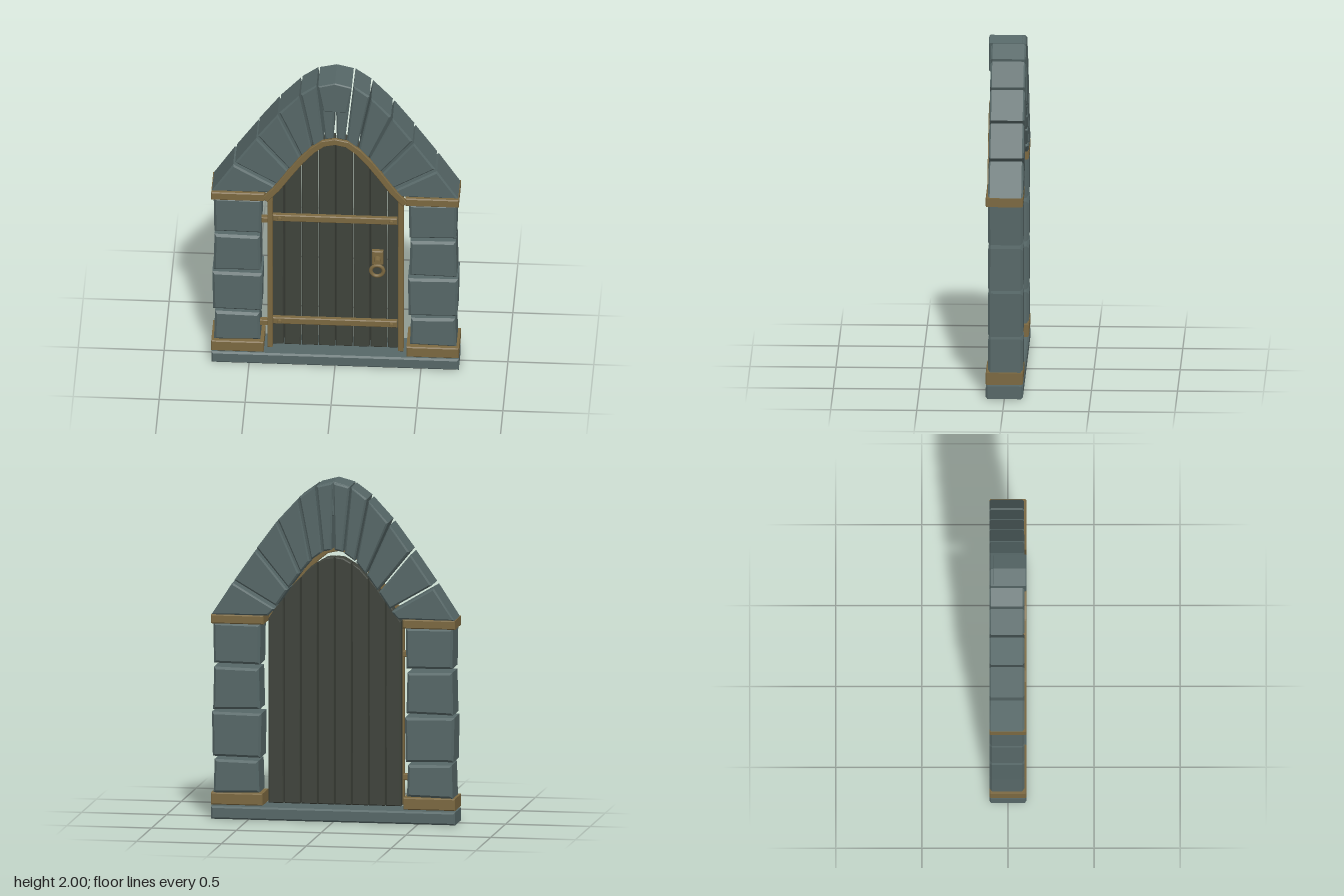
import * as THREE from 'three';

const material = (name, color) => Object.assign(new THREE.MeshStandardMaterial({ color }), { name });

export function createModel() {
  const stone = material('slate stone', 0x566767);
  const brass = material('aged brass', 0x7b6840);
  const wood = material('dark wood', 0x3f433b);
  const model = new THREE.Group();
  model.name = 'archedDoorway';

  function add(name, geometry, mat, parent = model) {
    const mesh = new THREE.Mesh(geometry, mat);
    mesh.name = name;
    parent.add(mesh);
    return mesh;
  }
  function group(name) {
    const g = new THREE.Group();
    g.name = name;
    model.add(g);
    return g;
  }
  // Outline in x/y given depth from z0 to z1, with chamfered edges
  function slab(points, z0, z1, b) {
    const shape = new THREE.Shape(points.map(p => new THREE.Vector2(p[0], p[1])));
    const g = new THREE.ExtrudeGeometry(shape, {
      depth: z1 - z0 - 2 * b, bevelEnabled: b > 0, bevelSize: b,
      bevelThickness: b, bevelOffset: -b, bevelSegments: 1, curveSegments: 1,
    });
    return g.translate(0, 0, z0 + b);
  }
  const block = (x0, x1, y0, y1, z0, z1, b) =>
    slab([[x0, y0], [x1, y0], [x1, y1], [x0, y1]], z0, z1, b);
  const flip = (points, s) => points.map(([x, y]) => [x * s, y]);

  // Threshold
  add('threshold', block(-0.72, 0.72, 0, 0.075, -0.108, 0.108, 0.01), stone);

  // Pillars: four slightly uneven blocks between brass bands
  const courses = [
    [0.435, 0.705, 0.155, 0.352, 0.006],
    [0.428, 0.71, 0.37, 0.63, -0.005],
    [0.432, 0.708, 0.645, 0.895, 0.006],
    [0.432, 0.703, 0.918, 1.155, -0.004],
  ];
  for (const s of [-1, 1]) {
    const pillar = group(s > 0 ? 'leftPillar' : 'rightPillar');
    for (const [x0, x1, y0, y1, skew] of courses) {
      const outline = [[x0, y0 + skew], [x1, y0], [x1 - skew, y1], [x0 + skew, y1 - Math.abs(skew)]];
      add('pillarBlock', slab(flip(outline, s), -0.107, 0.096, 0.014), stone, pillar);
    }
    add('pillarBaseBand', slab(flip([[0.415, 0.085], [0.72, 0.085], [0.72, 0.155], [0.415, 0.155]], s),
      -0.108, 0.109, 0.006), brass, pillar);
    add('pillarCapBand', slab(flip([[0.41, 1.15], [0.72, 1.15], [0.72, 1.203], [0.41, 1.203]], s),
      -0.108, 0.109, 0.006), brass, pillar);
  }

  // Arch stones: outer start, outer end, inner end, inner start
  const wedges = [
    [[0.716, 1.203], [0.593, 1.392], [0.345, 1.245], [0.385, 1.203]],
    [[0.582, 1.407], [0.458, 1.585], [0.27, 1.358], [0.335, 1.262]],
    [[0.45, 1.6], [0.335, 1.755], [0.2, 1.455], [0.262, 1.37]],
    [[0.325, 1.768], [0.21, 1.893], [0.138, 1.53], [0.192, 1.465]],
    [[0.2, 1.905], [0.108, 1.972], [0.068, 1.582], [0.128, 1.54]],
    [[0.098, 1.973], [0.001, 1.996], [0.01, 1.6], [0.058, 1.59]],
  ];
  const arch = group('arch');
  for (const s of [-1, 1])
    for (const w of wedges) add('archStone', slab(flip(w, s), -0.108, 0.095, 0.01), stone, arch);
  add('keystone', slab([[-0.098, 1.974], [0, 2], [0.098, 1.974], [0.066, 1.797], [-0.066, 1.797]],
    -0.09, 0.109, 0.006), stone, arch);

  // Brass trim along the inner edge of the arch
  const trim = [[0, 1.585], [0.07, 1.57], [0.135, 1.518], [0.2, 1.442], [0.268, 1.347], [0.34, 1.24], [0.405, 1.165]];
  for (const s of [-1, 1])
    for (let i = 0; i < trim.length - 1; i++) {
      const [[ax, ay], [bx, by]] = [trim[i], trim[i + 1]];
      const len = Math.hypot(bx - ax, by - ay);
      const piece = add('archTrim', block(-len / 2 - 0.006, len / 2 + 0.006, -0.02, 0.02, 0.085, 0.109, 0.004), brass, arch);
      piece.position.set(s * (ax + bx) / 2, (ay + by) / 2, 0);
      piece.rotation.z = s * Math.atan2(by - ay, bx - ax);
    }

  // Door planks cut to the pointed top
  const crown = [[0, 1.548], [0.1, 1.515], [0.2, 1.425], [0.3, 1.3], [0.4, 1.16]];
  const topAt = x => {
    const a = Math.abs(x), i = Math.min(3, Math.floor(a * 10 + 1e-6));
    const t = a * 10 - i;
    return crown[i][1] + t * (crown[i + 1][1] - crown[i][1]) - 0.05 * t * (t - 1);
  };
  const door = group('door');
  for (let i = 0; i < 8; i++) {
    const x0 = Math.max(-0.39, -0.4 + i * 0.1 + 0.003);
    const x1 = Math.min(0.39, -0.3 + i * 0.1 - 0.003);
    const mid = (x0 + x1) / 2;
    add('plank', slab([[x0, 0.095], [x1, 0.095], [x1, topAt(x1)], [mid, topAt(mid)], [x0, topAt(x0)]],
      -0.05, 0.035, 0.006), wood, door);
  }

  // Brass side edging, straps with rivets, and hinge pins
  for (const s of [-1, 1])
    add('doorEdging', slab(flip([[0.365, 0.095], [0.396, 0.095], [0.396, 1.17], [0.365, 1.215]], s),
      0.02, 0.07, 0.004), brass, door);
  for (const y of [0.278, 1.003]) {
    add('strap', block(-0.365, 0.36, y - 0.022, y + 0.022, 0.03, 0.062, 0.005), brass, door);
    for (const x of [-0.325, 0.325]) {
      const rivet = add('rivet', new THREE.CylinderGeometry(0.01, 0.014, 0.014, 10), brass, door);
      rivet.rotation.x = Math.PI / 2;
      rivet.position.set(x, y, 0.067);
    }
    add('hingePin', block(-0.45, -0.385, y - 0.04, y - 0.003, 0.02, 0.055, 0.004), brass, door);
  }

  // Knocker
  add('knockerPlate', block(0.212, 0.278, 0.695, 0.79, 0.03, 0.06, 0.005), brass, door);
  const boss = add('knockerBoss', new THREE.CylinderGeometry(0.018, 0.022, 0.045, 12), brass, door);
  boss.rotation.x = Math.PI / 2;
  boss.position.set(0.245, 0.738, 0.075);
  const ring = add('knockerRing', new THREE.TorusGeometry(0.037, 0.011, 8, 20), brass, door);
  ring.position.set(0.245, 0.68, 0.095);

  return model;
}
